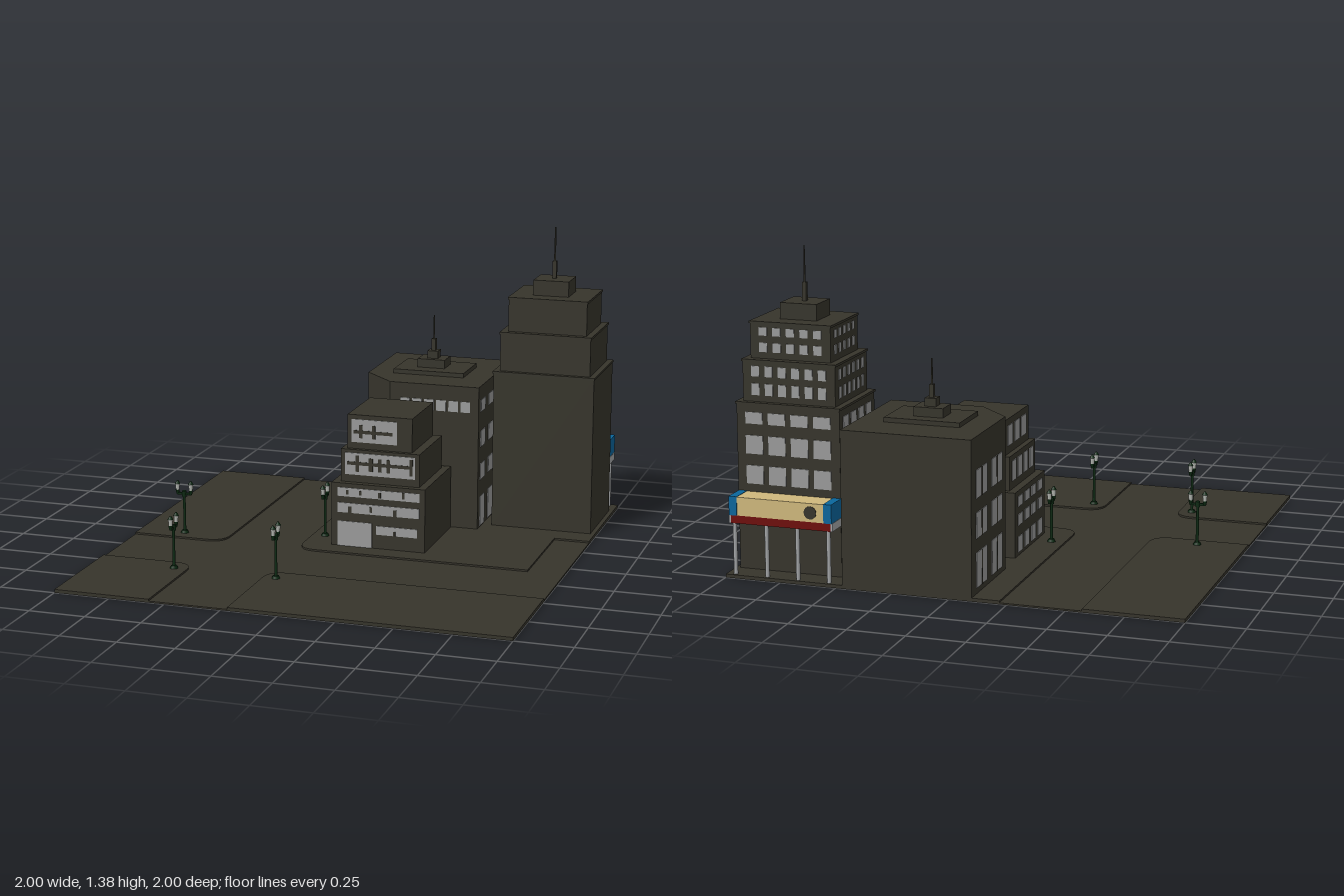
import * as THREE from 'three';

const mat = (name, color) => {
  const m = new THREE.MeshStandardMaterial({ color });
  m.name = name;
  return m;
};

export function createModel() {
  const stone = mat('dark stone', 0x36342b);
  const glass = mat('grey glass', 0x9a9b9b);
  const green = mat('lamp green', 0x0c2a12);
  const lampGlass = mat('lamp glass', 0xb5b8b2);
  const blue = mat('sign blue', 0x0a669c);
  const tan = mat('sign tan', 0xcfb87c);
  const red = mat('canopy red', 0x6e0c0a);
  const grey = mat('post grey', 0xa4a6a8);

  const root = new THREE.Group();
  root.name = 'cityBlock';
  const group = (name, parent = root) => {
    const g = new THREE.Group();
    g.name = name;
    parent.add(g);
    return g;
  };
  const mesh = (parent, name, geo, m) => {
    const o = new THREE.Mesh(geo, m);
    o.name = name;
    parent.add(o);
    return o;
  };
  // Box from its limits on each axis
  const box = (parent, name, m, x0, x1, y0, y1, z0, z1) => {
    const o = mesh(parent, name, new THREE.BoxGeometry(x1 - x0, y1 - y0, z1 - z0), m);
    o.position.set((x0 + x1) / 2, (y0 + y1) / 2, (z0 + z1) / 2);
    return o;
  };
  const cyl = (parent, name, m, r0, r1, y0, y1, x, z, sides = 8) => {
    const o = mesh(parent, name, new THREE.CylinderGeometry(r1, r0, y1 - y0, sides), m);
    o.position.set(x, (y0 + y1) / 2, z);
    return o;
  };
  // Plan outline [x, z] raised from y0 to y1
  const slab = (parent, name, shape, y0, y1) => {
    const geo = new THREE.ExtrudeGeometry(shape, { depth: y1 - y0, bevelEnabled: false, curveSegments: 8 });
    geo.rotateX(-Math.PI / 2);
    mesh(parent, name, geo, stone).position.y = y0;
  };
  // Thin plate on a wall: axis 'x' or 'z' is the wall normal, at is the wall plane
  const plate = (parent, name, m, axis, at, u0, u1, y0, y1, t = 0.003) => {
    if (axis === 'z') box(parent, name, m, u0, u1, y0, y1, at - t, at + t);
    else box(parent, name, m, at - t, at + t, y0, y1, u0, u1);
  };
  const windowRow = (parent, axis, at, u0, u1, y0, y1, n, gap) => {
    const w = (u1 - u0 - gap * (n - 1)) / n;
    for (let i = 0; i < n; i++) {
      const u = u0 + i * (w + gap);
      plate(parent, 'window', glass, axis, at, u, u + w, y0, y1);
    }
  };

  // Ground: road slab and four raised pavements with rounded corners
  const ground = group('ground');
  box(ground, 'road', stone, -1, 1, 0, 0.007, -1, 1);
  const pavement = (cx, cz, ex, ez, outer) => {
    const r = 0.09, sx = Math.sign(ex - cx), sz = Math.sign(ez - cz);
    const s = new THREE.Shape();
    s.moveTo(cx, -ez);
    s.lineTo(ex, -ez);
    for (const [x, z] of outer || [[ex, cz]]) s.lineTo(x, -z);
    s.lineTo(cx + sx * r, -cz);
    s.quadraticCurveTo(cx, -cz, cx, -(cz + sz * r));
    slab(ground, 'pavement', s, 0.006, 0.015);
  };
  pavement(-0.57, 0.12, -1, -1);
  pavement(-0.57, 0.48, -1, 1);
  pavement(-0.22, 0.48, 1, 1);
  pavement(-0.22, 0.12, 1, -1, [[1, -0.38], [0.84, -0.38], [0.84, 0.12]]);

  // Low stepped building
  const low = group('lowBuilding');
  box(low, 'lowerTier', stone, -0.09, 0.345, 0.01, 0.305, -0.4, 0.02);
  box(low, 'middleTier', stone, -0.055, 0.31, 0.3, 0.455, -0.37, -0.01);
  box(low, 'upperTier', stone, -0.03, 0.27, 0.45, 0.61, -0.36, -0.03);
  plate(low, 'door', glass, 'z', 0.02, -0.06, 0.1, 0.015, 0.13);
  plate(low, 'window', glass, 'z', 0.02, 0.12, 0.31, 0.08, 0.12);
  plate(low, 'window', glass, 'z', 0.02, -0.06, 0.32, 0.17, 0.215);
  plate(low, 'window', glass, 'z', 0.02, -0.06, 0.32, 0.245, 0.285);
  plate(low, 'window', glass, 'z', -0.01, -0.035, 0.29, 0.34, 0.44);
  plate(low, 'window', glass, 'z', -0.03, -0.01, 0.2, 0.485, 0.59);
  // Window bars: [wall z, x0, x1, y0, y1]
  for (const [z, ...b] of [
    [-0.03, 0, 0.18, 0.525, 0.54], [-0.03, 0.025, 0.04, 0.505, 0.565], [-0.03, 0.085, 0.1, 0.505, 0.565],
    [-0.01, -0.025, 0.28, 0.385, 0.4], [-0.01, 0.015, 0.03, 0.355, 0.43], [-0.01, 0.075, 0.095, 0.36, 0.42],
    [-0.01, 0.12, 0.135, 0.36, 0.42], [-0.01, 0.16, 0.175, 0.36, 0.42], [-0.01, 0.265, 0.28, 0.355, 0.43],
    [0.02, -0.02, -0.008, 0.255, 0.275], [0.02, 0.04, 0.052, 0.255, 0.275], [0.02, 0.13, 0.142, 0.25, 0.275],
    [0.02, 0.24, 0.252, 0.255, 0.285], [0.02, -0.01, 0.005, 0.17, 0.2], [0.02, 0.09, 0.102, 0.18, 0.205],
    [0.02, 0.2, 0.215, 0.17, 0.2], [0.02, 0.2, 0.21, 0.08, 0.1],
  ]) plate(low, 'windowBar', stone, 'z', z, ...b, 0.0045);
  for (const [y0, y1] of [[0.03, 0.1], [0.15, 0.2], [0.235, 0.28]]) windowRow(low, 'x', -0.09, -0.36, -0.02, y0, y1, 4, 0.03);
  windowRow(low, 'x', -0.055, -0.34, -0.04, 0.34, 0.43, 4, 0.025);
  windowRow(low, 'x', -0.03, -0.32, -0.07, 0.49, 0.58, 3, 0.025);

  // Corner building with one cut corner
  const corner = group('cornerBuilding');
  const plan = new THREE.Shape([[-0.1, -1], [0.47, -1], [0.47, -0.41], [0.05, -0.41], [-0.1, -0.56]]
    .map(([x, z]) => new THREE.Vector2(x, -z)));
  slab(corner, 'body', plan, 0.01, 0.68);
  box(corner, 'roofStep', stone, 0.015, 0.35, 0.67, 0.7, -0.81, -0.58);
  box(corner, 'roofBlock', stone, 0.11, 0.24, 0.69, 0.74, -0.75, -0.65);
  box(corner, 'mastBase', stone, 0.15, 0.2, 0.73, 0.775, -0.725, -0.675);
  box(corner, 'mast', stone, 0.165, 0.185, 0.77, 0.83, -0.71, -0.69);
  cyl(corner, 'spire', stone, 0.005, 0.003, 0.82, 0.94, 0.175, -0.7);
  windowRow(corner, 'z', -0.41, 0.1, 0.43, 0.56, 0.61, 6, 0.012);
  for (const [y0, y1] of [[0.02, 0.16], [0.24, 0.315], [0.395, 0.47], [0.56, 0.615]])
    windowRow(corner, 'x', 0.47, -0.94, -0.445, y0, y1, 4, 0.06);
  for (const [y0, y1] of [[0.04, 0.19], [0.25, 0.36], [0.42, 0.54]]) {
    windowRow(corner, 'x', -0.1, -0.94, -0.61, y0, y1, 2, 0.06);
    for (const z of [-0.872, -0.678])
      plate(corner, 'windowBar', stone, 'x', -0.1, z - 0.006, z + 0.006, y0, y1, 0.0045);
  }

  // Stepped tower: limits of each tier, window rows on the back and right walls
  const tower = group('tower');
  const tiers = [
    { x: [0.515, 0.98], z: [-0.892, -0.497], y: [0.01, 0.742], rows: [[0.39, 0.47], [0.52, 0.6], [0.65, 0.7]], n: 4 },
    { x: [0.54, 0.957], z: [-0.872, -0.515], y: [0.73, 0.922], rows: [[0.77, 0.82], [0.85, 0.895]], n: 6 },
    { x: [0.57, 0.932], z: [-0.842, -0.54], y: [0.91, 1.08], rows: [[0.95, 0.99], [1.02, 1.055]], n: 5 },
  ];
  for (const { x, z, y, rows, n } of tiers) {
    box(tower, 'tier', stone, ...x, ...y, ...z);
    box(tower, 'cornice', stone, x[0] - 0.004, x[1] + 0.004, y[1] - 0.01, y[1], z[0] - 0.004, z[1] + 0.004);
    for (const [y0, y1] of rows) {
      windowRow(tower, 'z', z[0], x[0] + 0.04, x[1] - 0.04, y0, y1, n, 0.025);
      windowRow(tower, 'x', x[0], z[0] + 0.04, z[1] - 0.04, y0, y1, n, 0.025);
    }
  }
  box(tower, 'roofBlock', stone, 0.663, 0.828, 1.07, 1.15, -0.765, -0.617);
  box(tower, 'mast', stone, 0.736, 0.754, 1.14, 1.23, -0.7, -0.682);
  cyl(tower, 'spire', stone, 0.005, 0.003, 1.22, 1.385, 0.745, -0.691);

  // Shop canopy and sign on the back of the tower
  const shop = group('shopCanopy');
  box(shop, 'signPanel', tan, 0.55, 0.942, 0.275, 0.355, -0.997, -0.89);
  box(shop, 'canopy', red, 0.52, 0.972, 0.24, 0.275, -0.995, -0.89);
  for (const s of [-1, 1]) {
    const x = 0.746 + s * 0.214;
    box(shop, 'signEnd', blue, x - 0.018, x + 0.018, 0.275, 0.357, -1, -0.89);
    const e = 0.746 + s * 0.23;
    box(shop, 'canopyEnd', grey, e - 0.004, e + 0.004, 0.24, 0.275, -0.995, -0.89);
  }
  const disc = mesh(shop, 'signDisc', new THREE.CylinderGeometry(0.028, 0.028, 0.006, 16), stone);
  disc.rotation.x = Math.PI / 2;
  disc.position.set(0.61, 0.315, -0.997);
  for (const x of [0.535, 0.675, 0.815, 0.96]) cyl(shop, 'post', grey, 0.009, 0.009, 0.012, 0.245, x, -0.982, 10);

  // Street lamps with two lanterns each
  const lamp = (x, z, turn) => {
    const g = group('streetLamp');
    g.position.set(x, 0.012, z);
    g.rotation.y = turn;
    cyl(g, 'foot', green, 0.02, 0.014, 0, 0.015, 0, 0);
    cyl(g, 'post', green, 0.007, 0.006, 0.01, 0.2, 0, 0);
    box(g, 'arm', green, -0.035, 0.035, 0.182, 0.192, -0.005, 0.005);
    cyl(g, 'collar', green, 0.011, 0.011, 0.175, 0.2, 0, 0);
    for (const s of [-0.032, 0.032]) {
      cyl(g, 'lanternBase', green, 0.006, 0.01, 0.185, 0.204, s, 0);
      cyl(g, 'lanternGlass', lampGlass, 0.009, 0.011, 0.204, 0.232, s, 0);
      cyl(g, 'lanternCap', green, 0.013, 0.003, 0.232, 0.247, s, 0);
    }
  };
  lamp(-0.785, 0.05, 0);
  for (const [x, z] of [[-0.63, 0.565], [-0.16, 0.565], [-0.16, -0.1]]) lamp(x, z, Math.PI / 2);

  return root;
}
